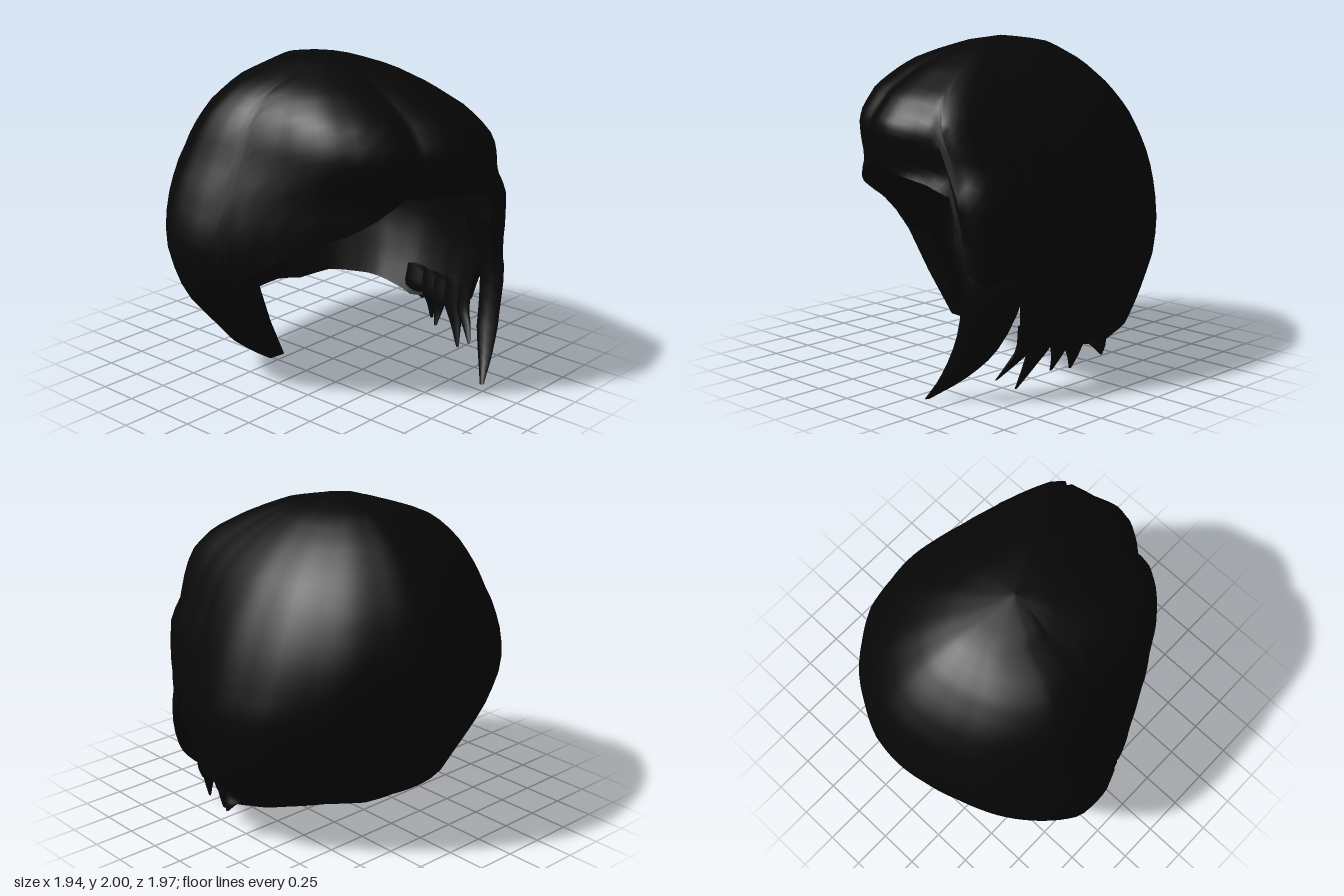
import * as THREE from 'three';
import { mergeVertices } from 'three/addons/utils/BufferGeometryUtils.js';

// Piecewise linear lookup in rows of [key, value], keys rising
function lookup(table, k) {
  if (k <= table[0][0]) return table[0][1];
  for (let i = 1; i < table.length; i++) {
    const [k0, v0] = table[i - 1], [k1, v1] = table[i];
    if (k <= k1) return v0 + (v1 - v0) * (k - k0) / (k1 - k0);
  }
  return table[table.length - 1][1];
}

// Widest outline seen from above, as x, z
const outline = [
  [0.03, -1], [0.27, -0.97], [0.47, -0.87], [0.65, -0.75], [0.78, -0.6], [0.91, -0.4], [0.95, -0.2], [0.97, -0.02],
  [0.94, 0.16], [0.88, 0.35], [0.8, 0.56], [0.75, 0.7], [0.67, 0.84], [0.58, 0.9], [0.46, 0.92], [0.3, 0.95],
  [0.1, 0.99], [-0.06, 0.97], [-0.2, 0.89], [-0.27, 0.83], [-0.4, 0.8], [-0.5, 0.72], [-0.62, 0.56], [-0.73, 0.36],
  [-0.8, 0.2], [-0.9, -0.04], [-0.97, -0.22], [-0.96, -0.46], [-0.88, -0.58], [-0.6, -0.82], [-0.38, -0.91], [-0.17, -0.97],
];
const deg = 180 / Math.PI;
const polar = outline.map(([x, z]) => [Math.atan2(x, z) * deg, Math.hypot(x, z)]).sort((a, b) => a[0] - b[0]);
const last = polar[polar.length - 1], first = polar[0];
const radius = [[last[0] - 360, last[1]], ...polar, [first[0] + 360, first[1]]];

// How far the hair reaches to each side at each height
const reachRight = [[0.1, 0.5], [0.15, 0.53], [0.4, 0.74], [0.56, 0.87], [0.7, 0.94], [0.87, 0.97], [1.02, 0.96], [1.14, 0.92],
  [1.28, 0.87], [1.42, 0.8], [1.6, 0.73], [1.72, 0.66], [1.8, 0.58], [1.86, 0.5], [1.9, 0.4], [1.97, 0.2], [2, 0]];
const reachLeft = [[0.1, 0.76], [0.28, 0.83], [0.44, 0.9], [0.7, 0.97], [0.88, 0.97], [1.12, 0.9], [1.28, 0.84], [1.44, 0.76],
  [1.6, 0.66], [1.72, 0.55], [1.83, 0.42], [1.93, 0.26], [1.98, 0.1], [2, 0]];
const reachFront = [[0.3, 0.98], [1.2, 0.97], [1.28, 0.94], [1.4, 0.98], [1.5, 1], [1.57, 0.98], [1.7, 0.86], [1.84, 0.6],
  [1.92, 0.4], [1.97, 0.2], [2, 0]];
const reachBack = [[0.15, 0.62], [0.34, 0.7], [0.7, 0.87], [0.86, 0.94], [1, 0.98], [1.17, 0.99], [1.33, 0.96], [1.52, 0.88],
  [1.69, 0.75], [1.84, 0.58], [1.95, 0.37], [1.98, 0.2], [2, 0]];
// Extra fullness of the swept fringe and of the opposite temple, by height
const fringeFull = [[1, 0], [1.25, 0.06], [1.4, 0.12], [1.6, 0.18], [1.75, 0.22], [1.9, 0.22], [2, 0.2]];
const templeFull = [[0.85, 0], [1, 0.03], [1.15, 0.05], [1.35, 0.02], [1.5, 0]];

// Hem height and inner wall scale by angle from the front (plus is the left side)
const hem = [[-180, 0.32], [-165, 0.3], [-150, 0.29], [-135, 0.27], [-120, 0.25], [-105, 0.2], [-96, 0.15], [-93, 0.42],
  [-90, 0.68], [-87, 0.74], [-81, 0.83], [-69, 0.94], [-54, 1.04], [-42, 1.11], [-27, 1.24], [-18, 1.29], [0, 1.28],
  [21, 1.22], [30, 1.17], [33, 0.72], [45, 0.62], [51, 0.6], [54, 0.36], [60, 0.28], [66, 0.29], [72, 0.24], [78, 0.26],
  [90, 0.22], [99, 0.25], [120, 0.31], [140, 0.34], [156, 0.31], [168, 0.33], [180, 0.32]];
const wall = [[-180, 0.97], [-115, 0.95], [-93, 0.76], [-75, 0.76], [-50, 0.82], [-20, 0.87], [25, 0.92], [35, 0.96], [180, 0.97]];
const bump = (angle, centre, width) => Math.exp(-(((angle - centre) / width) ** 2));

function surfacePoint(angle, y, scale = 1) {
  const full = 1 + lookup(fringeFull, y) * bump(angle, -60, 28) + lookup(templeFull, y) * bump(angle, 47, 18);
  const r = lookup(radius, angle) * full * scale;
  const x = Math.sin(angle / deg) * r, z = Math.cos(angle / deg) * r;
  const sx = lookup(x < 0 ? reachRight : reachLeft, y) / 0.97;
  const sz = lookup(z < 0 ? reachBack : reachFront, y);
  return [x * sx, y, z * sz];
}

// Skin a grid of points; rows x columns
function gridGeometry(rows, cols, point) {
  const pos = [], index = [];
  for (let i = 0; i <= rows; i++) for (let j = 0; j <= cols; j++) pos.push(...point(i / rows, j / cols));
  for (let i = 0; i < rows; i++) for (let j = 0; j < cols; j++) {
    const a = i * (cols + 1) + j, b = a + cols + 1;
    index.push(a, b, a + 1, b, b + 1, a + 1);
  }
  let g = new THREE.BufferGeometry();
  g.setAttribute('position', new THREE.Float32BufferAttribute(pos, 3));
  g.setIndex(index);
  g = mergeVertices(g, 1e-4);
  g.computeVertexNormals();
  return g;
}

// Tapering lock through rows of [front edge, rear edge], bulging outward and inward
function lockGeometry(rows, outer, inner) {
  const edges = [0, 1].map(k => new THREE.CatmullRomCurve3(rows.map(r => new THREE.Vector3(...r[k]))));
  return gridGeometry(12, 10, (t, u) => {
    const a = edges[0].getPoint(t), b = edges[1].getPoint(t);
    const w = u * Math.PI * 2;
    const p = a.clone().lerp(b, 0.5 - 0.5 * Math.cos(w));
    const inward = new THREE.Vector3(b.z - a.z, 0, a.x - b.x).normalize();
    const taper = Math.min(1, a.distanceTo(b) / 0.2);
    return p.addScaledVector(inward, Math.sin(w) * taper * (Math.sin(w) > 0 ? inner : outer)).toArray();
  });
}

export function createModel() {
  const group = new THREE.Group();
  group.name = 'hair';
  const black = new THREE.MeshStandardMaterial({ color: 0x070707, side: THREE.DoubleSide });
  black.name = 'black hair';
  const add = (name, geometry) => {
    const mesh = new THREE.Mesh(geometry, black);
    mesh.name = name;
    group.add(mesh);
  };
  const cols = 120;
  const angleOf = u => -180 + 360 * u;
  const drop = (t, angle) => 2 - (2 - lookup(hem, angle)) * (1 - Math.cos(t * Math.PI / 2));

  // Outer cap, from the crown down to the hem
  add('outerHair', gridGeometry(26, cols, (t, u) => surfacePoint(angleOf(u), drop(t, angleOf(u)))));

  // Inner wall, turned to face the hollow; it thickens only close to the hem
  add('innerHair', gridGeometry(26, cols, (t, u) => {
    const a = angleOf(1 - u);
    const p = surfacePoint(a, drop(t, a), 0.98 + (lookup(wall, a) - 0.98) * t ** 5);
    p[1] -= 0.02 * (1 - t);
    return p;
  }));

  // Rim joining both walls along the hem
  add('hemRim', gridGeometry(1, cols, (t, u) => {
    const a = angleOf(u);
    return surfacePoint(a, lookup(hem, a), 1 + (lookup(wall, a) - 1) * t);
  }));

  // Long pointed strand beside the face, growing out of the cap
  add('longStrand', lockGeometry([
    [[0.55, 0.92, 0.84], [0.74, 0.9, 0.52]],
    [[0.575, 0.7, 0.885], [0.79, 0.62, 0.63]],
    [[0.53, 0.4, 0.89], [0.69, 0.32, 0.73]],
    [[0.44, 0.17, 0.92], [0.53, 0.14, 0.82]],
    [[0.33, 0, 0.95], [0.34, 0, 0.92]],
  ], 0.03, 0.1));

  // Short jagged locks along the left hem: front z, rear z, tip x, y, z
  [[0.57, 0.45, 0.59, 0.1, 0.65], [0.49, 0.33, 0.63, 0.03, 0.53], [0.34, 0.2, 0.69, 0.1, 0.3],
    [0.26, 0.1, 0.76, 0.11, 0.21], [0.12, -0.06, 0.86, 0.18, 0.05]].forEach(([zf, zb, x, y, z], i) => {
    const rootX = q => 0.83 - 0.24 * Math.max(0, q);
    const mid = (q, k) => [rootX(q) * 0.5 + x * 0.5, 0.156 + y * 0.4, q + (z - q) * k];
    add('sideLock' + (i + 1), lockGeometry([
      [[rootX(zf), 0.42, zf], [rootX(zb), 0.42, zb]],
      [[rootX(zf) - 0.02, 0.28, zf], [rootX(zb) - 0.02, 0.28, zb]],
      [mid(zf, 0.5), mid(zb, 0.4)],
      [[x, y, z], [x, y, z - 0.02]],
    ], 0.04, 0.04));
  });
  return group;
}
